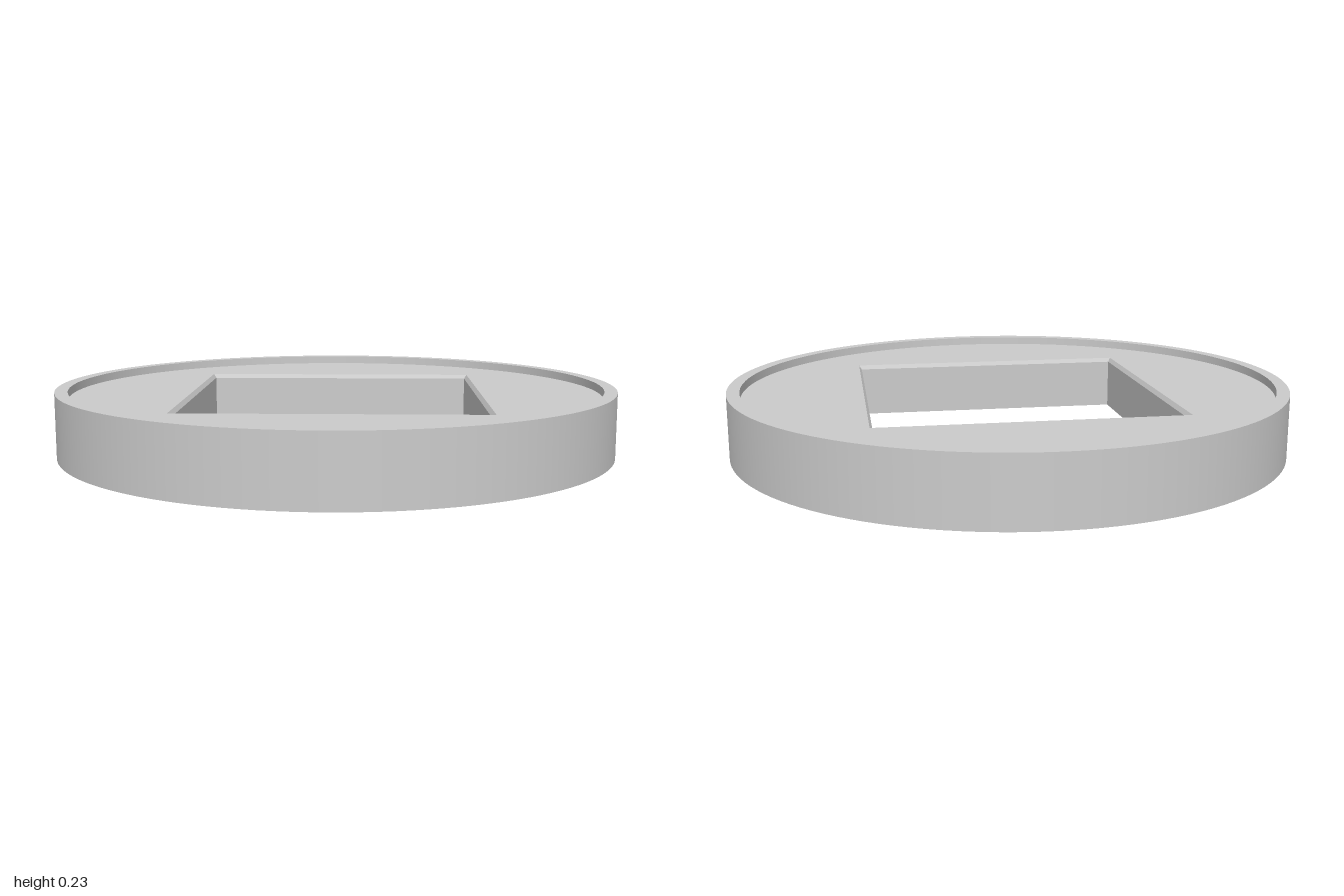
import * as THREE from 'three';

const HEIGHT = 0.23, PLATE_Y = 0.2, RIM_INNER = 0.955, HOLE = 0.515, CHAMFER = 0.01;
const SEGMENTS = 128;

export function createModel() {
  const model = new THREE.Group();
  const smooth = new THREE.MeshStandardMaterial({ color: 0xcccccc, side: THREE.DoubleSide });
  const flat = smooth.clone();
  flat.flatShading = true;

  const add = (name, geometry, material = smooth) => {
    const mesh = new THREE.Mesh(geometry, material);
    mesh.name = name;
    model.add(mesh);
  };
  // Thin round wall between two heights
  const roundWall = (r, y0, y1) =>
    new THREE.CylinderGeometry(r, r, y1 - y0, SEGMENTS, 1, true).translate(0, (y0 + y1) / 2, 0);
  // Thin four-sided wall, given by its half widths at the top and bottom
  const squareWall = (top, bottom, y0, y1) =>
    new THREE.CylinderGeometry(top * Math.SQRT2, bottom * Math.SQRT2, y1 - y0, 4, 1, true)
      .rotateY(Math.PI / 4).translate(0, (y0 + y1) / 2, 0);

  // Outer shell, open underneath
  add('outerWall', roundWall(1, 0, HEIGHT));
  add('topRim', new THREE.RingGeometry(RIM_INNER, 1, SEGMENTS).rotateX(-Math.PI / 2).translate(0, HEIGHT, 0));
  add('rimStep', roundWall(RIM_INNER, PLATE_Y, HEIGHT));

  // Recessed plate with a square opening
  const plate = new THREE.Shape().absarc(0, 0, RIM_INNER, 0, Math.PI * 2);
  const h = HOLE + CHAMFER;
  plate.holes.push(new THREE.Path([[-h, -h], [-h, h], [h, h], [h, -h]].map(p => new THREE.Vector2(...p))));
  add('plate', new THREE.ShapeGeometry(plate, SEGMENTS).rotateX(-Math.PI / 2).translate(0, PLATE_Y, 0));

  // Thin square sleeve below the opening, with a small chamfer at its top
  const chamferY = PLATE_Y - 0.015;
  add('openingChamfer', squareWall(h, HOLE, chamferY, PLATE_Y), flat);
  add('openingSleeve', squareWall(HOLE, HOLE, 0, chamferY), flat);

  return model;
}
